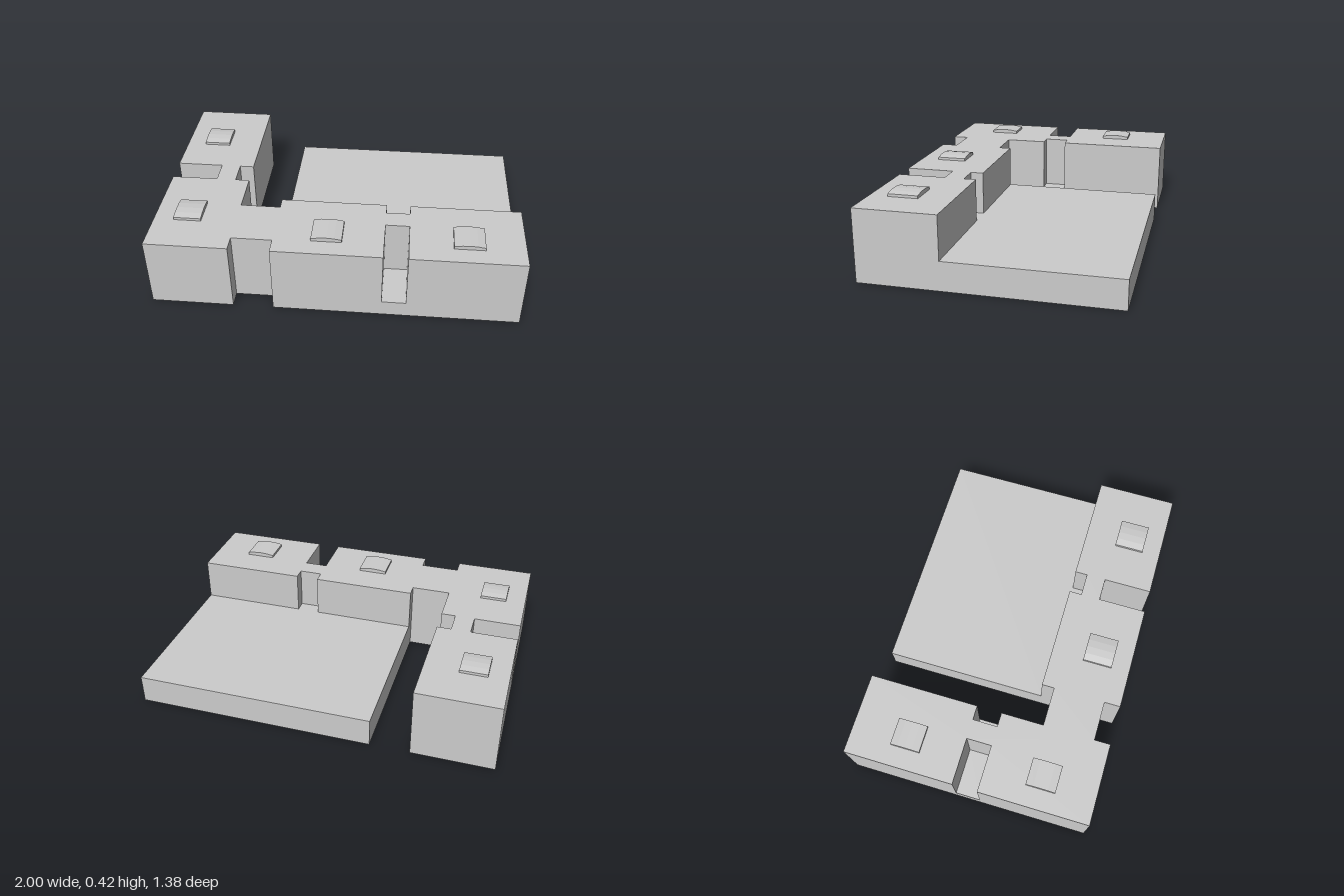
import * as THREE from 'three';

const material = new THREE.MeshStandardMaterial({ color: 0xcccccc, side: THREE.DoubleSide, flatShading: true });
const TOP = 0.4, DECK = 0.16, SILL = 0.09;

function add(group, geometry, name) {
  const mesh = new THREE.Mesh(geometry, material);
  mesh.name = name;
  group.add(mesh);
  return mesh;
}

// Horizontal sheet at height y from [x, z] corners, facing up
function sheet(points, y) {
  const shape = new THREE.Shape(points.map(([x, z]) => new THREE.Vector2(x, -z)));
  return new THREE.ShapeGeometry(shape).rotateX(-Math.PI / 2).translate(0, y, 0);
}

// Upright wall strip; each point [x, z, base, top] starts a wall running to the next point
function walls(points) {
  const pos = [];
  for (let i = 0; i < points.length; i++) {
    const [ax, az, base, top] = points[i];
    const [bx, bz] = points[(i + 1) % points.length];
    if (top <= base) continue;
    pos.push(ax, base, az, bx, base, bz, bx, top, bz);
    pos.push(ax, base, az, bx, top, bz, ax, top, az);
  }
  const geometry = new THREE.BufferGeometry();
  geometry.setAttribute('position', new THREE.Float32BufferAttribute(pos, 3));
  geometry.computeVertexNormals();
  return geometry;
}

// Low pad with a gently arched top, curved along x
function padGeometry(width, depth) {
  const shape = new THREE.Shape();
  const h = width / 2;
  shape.moveTo(-h, 0);
  shape.lineTo(h, 0);
  for (let i = 0; i <= 4; i++) {
    const t = 1 - i / 2;
    shape.lineTo(h * t, 0.024 - 0.009 * t * t);
  }
  shape.closePath();
  return new THREE.ExtrudeGeometry(shape, { depth, bevelEnabled: false }).translate(0, 0, -depth / 2);
}

export function createModel() {
  const model = new THREE.Group();
  model.name = 'buildingBlock';

  // Outline of the tall L-shaped part: [x, z, height the wall starts from]
  const outline = [
    [-1, 0.69, 0], [-0.55, 0.69, 0], [-0.55, 0.6, 0], [-0.33, 0.6, 0], [-0.33, 0.69, 0],
    [0.26, 0.69, SILL], [0.26, 0.42, SILL], [0.39, 0.42, SILL], [0.39, 0.69, 0],
    [1, 0.69, 0], [1, 0.24, DECK], [0.39, 0.24, DECK], [0.39, 0.31, DECK],
    [0.26, 0.31, DECK], [0.26, 0.24, DECK], [-0.33, 0.24, 0], [-0.33, 0.31, 0],
    [-0.55, 0.31, 0], [-0.55, 0.07, SILL], [-0.63, 0.07, SILL], [-0.63, -0.07, SILL],
    [-0.55, -0.07, 0], [-0.55, -0.69, 0], [-1, -0.69, 0],
    [-1, -0.07, SILL], [-0.74, -0.07, SILL], [-0.74, 0.07, SILL], [-1, 0.07, 0],
  ];
  add(model, walls(outline.map(([x, z, base]) => [x, z, base, TOP])), 'tallWalls');
  add(model, sheet(outline, TOP), 'roof');

  // Low deck behind the front wing, open underneath
  add(model, sheet([[-0.33, 0.24], [0.26, 0.24], [0.26, 0.31], [0.39, 0.31], [0.39, 0.24],
    [1, 0.24], [1, -0.69], [-0.33, -0.69]], DECK), 'deck');
  add(model, walls([[1, 0.24, 0, DECK], [1, -0.69, 0, DECK], [-0.33, -0.69, 0, DECK],
    [-0.33, 0.24, 0, 0]]), 'deckWalls');

  // Floors of the three recesses and the low wall under each opening
  const recesses = [
    ['front', 0.26, 0.39, 0.42, 0.69, [[0.26, 0.69], [0.39, 0.69]]],
    ['outerSide', -1, -0.74, -0.07, 0.07, [[-1, -0.07], [-1, 0.07]]],
    ['innerSide', -0.63, -0.55, -0.07, 0.07, [[-0.55, 0.07], [-0.55, -0.07]]],
  ];
  for (const [name, x0, x1, z0, z1, [a, b]] of recesses) {
    add(model, sheet([[x0, z1], [x1, z1], [x1, z0], [x0, z0]], SILL), name + 'RecessFloor');
    add(model, walls([[...a, 0, SILL], [...b, 0, 0]]), name + 'RecessSill');
  }

  // Arched roof pads; those on the side wing curve along z
  const pads = [[-0.045, 0.505, 0], [0.705, 0.505, 0], [-0.815, 0.39, 1], [-0.815, -0.375, 1]];
  for (const [x, z, turned] of pads) {
    const pad = add(model, padGeometry(0.165, turned ? 0.15 : 0.165), 'roofPad');
    pad.position.set(x, TOP, z);
    pad.rotation.y = turned * Math.PI / 2;
  }
  return model;
}
